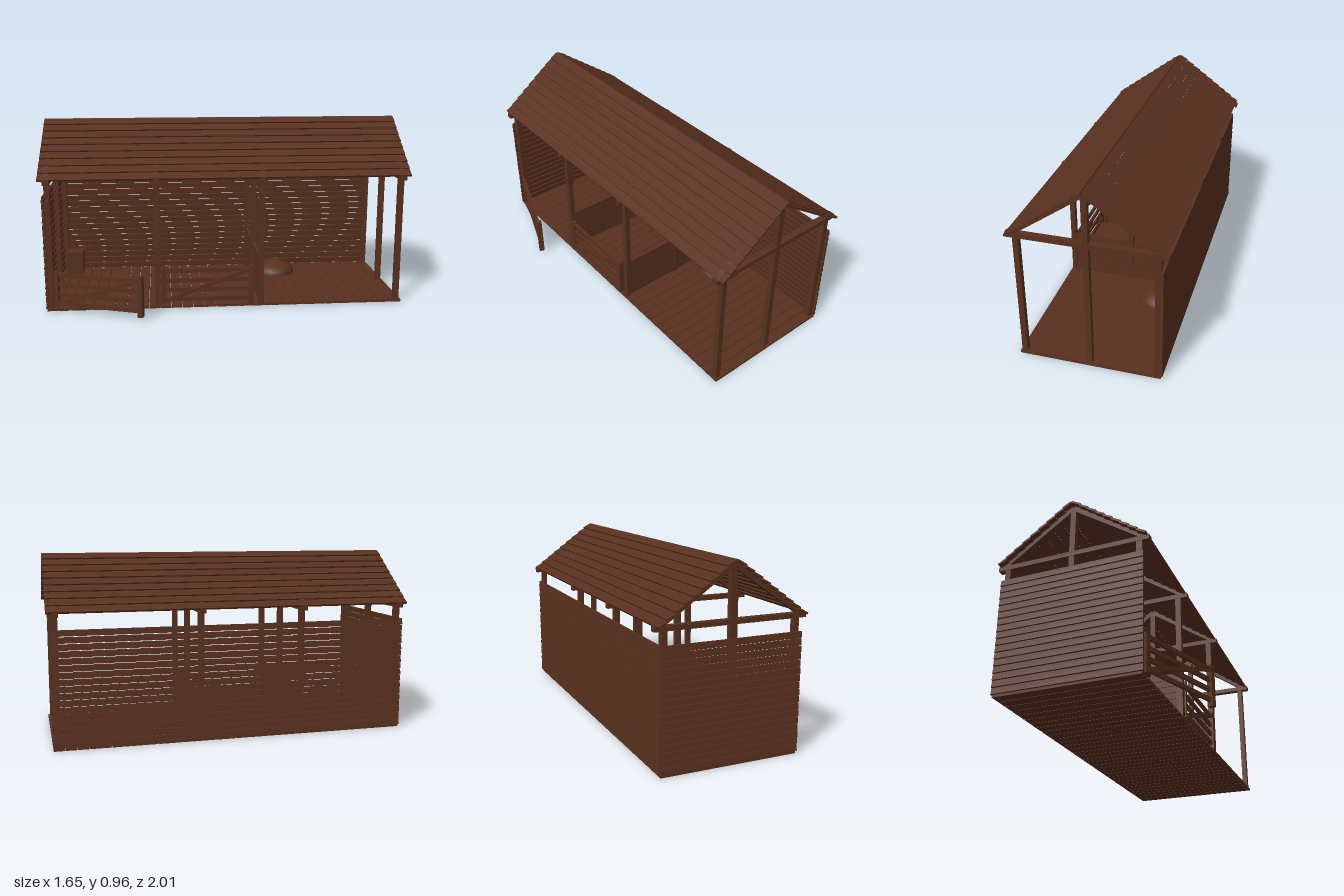
import * as THREE from 'three';

const wood = new THREE.MeshStandardMaterial({ color: 0x58301f });

// Box helper: size, position, name
function board(parent, name, w, h, d, x, y, z) {
  const m = new THREE.Mesh(new THREE.BoxGeometry(w, h, d), wood);
  m.name = name;
  m.position.set(x, y, z);
  parent.add(m);
  return m;
}

// Square beam between two points in the XY plane at a given z
function beam(parent, name, x1, y1, x2, y2, t, d, z) {
  const m = board(parent, name, Math.hypot(x2 - x1, y2 - y1), t, d, (x1 + x2) / 2, (y1 + y2) / 2, z);
  m.rotation.z = Math.atan2(y2 - y1, x2 - x1);
  return m;
}

function section(parent, name) {
  const g = new THREE.Group();
  g.name = name;
  parent.add(g);
  return g;
}

// Field gate running along +x from its hinge
function gate(parent, name, x, z, angle) {
  const g = section(parent, name);
  const L = 0.48;
  for (const y of [0.045, 0.095, 0.145, 0.198]) board(g, 'gateRail', L, 0.022, 0.012, L / 2, y, 0);
  board(g, 'hingeStile', 0.022, 0.19, 0.018, 0.012, 0.12, 0);
  board(g, 'latchStile', 0.026, 0.21, 0.028, L - 0.012, 0.118, 0);
  beam(g, 'gateBrace', 0.02, 0.04, L - 0.02, 0.2, 0.022, 0.012, 0.01);
  g.position.set(x, 0, z);
  g.rotation.y = angle;
}

export function createModel() {
  const root = new THREE.Group();
  root.name = 'stable';
  const body = section(root, 'building');
  body.rotation.y = -0.558;

  const trusses = [0.905, 0.36, -0.18, -0.905];
  const postX = 0.335, eave = 0.675, ridge = 0.945;

  // Floor planks laid across the width
  const floor = section(body, 'floor');
  const planks = 32, pitch = 1.86 / planks;
  for (let i = 0; i < planks; i++)
    board(floor, 'floorPlank', 0.71, 0.012, pitch - 0.003, 0, 0.006, -0.93 + pitch * (i + 0.5));

  // Posts, tie beams and rafters
  for (const z of trusses) {
    const t = section(body, 'truss');
    for (const s of [-1, 1]) {
      board(t, 'post', 0.028, eave, 0.028, s * postX, eave / 2, z);
      beam(t, 'rafter', s * 0.365, eave + 0.005, 0, ridge - 0.01, 0.026, 0.028, z);
    }
    board(t, 'centrePost', 0.028, ridge - 0.015, 0.028, 0, (ridge - 0.015) / 2, z);
    board(t, 'tieBeam', 0.77, 0.024, 0.032, 0, eave, z);
  }

  // Lapped roof boards on both slopes
  const roof = section(body, 'roof');
  const rows = 9, run = 0.372, rise = 0.272;
  const slope = Math.atan2(rise, run), step = Math.hypot(run, rise) / rows;
  for (const s of [-1, 1]) {
    for (let i = 0; i < rows; i++) {
      const f = (i + 0.5) / rows;
      const m = board(roof, 'roofBoard', step - 0.001, 0.01, 1.895,
        s * (run * f + 0.003), 0.954 - rise * f, 0);
      m.rotation.z = -s * (slope - 0.13);
    }
  }

  // Slatted walls on the long closed side and the closed end
  const walls = section(body, 'walls');
  const slats = 17, slatPitch = 0.59 / slats;
  for (let i = 0; i < slats; i++) {
    const y = 0.012 + slatPitch * (i + 0.5);
    board(walls, 'sideSlat', 0.012, slatPitch - 0.004, 1.86, -0.356, y, 0).rotation.z = -0.1;
    board(walls, 'endSlat', 0.72, slatPitch - 0.004, 0.012, 0, y, 0.926).rotation.x = -0.1;
  }

  // Low stall partitions
  for (const z of trusses.slice(1, 3)) {
    const p = section(body, 'stallPartition');
    for (let i = 0; i < 7; i++)
      board(p, 'partitionPlank', 0.67, 0.0325, 0.014, 0, 0.03 + i * 0.034, z);
  }

  // One gate swung open, one closed
  gate(body, 'openGate', 0.35, 0.885, Math.PI / 2 - 0.35);
  gate(body, 'closedGate', 0.345, 0.34, Math.PI / 2);

  // Feed box in the stall corner
  board(body, 'feedBox', 0.095, 0.13, 0.095, -0.285, 0.077, 0.85);

  // Straw heap behind the inner partition
  const heap = new THREE.Mesh(new THREE.SphereGeometry(1, 20, 8, 0, Math.PI * 2, 0, Math.PI / 2), wood);
  heap.name = 'strawHeap';
  heap.scale.set(0.12, 0.066, 0.12);
  heap.position.set(-0.21, 0.011, -0.33);
  body.add(heap);

  return root;
}
